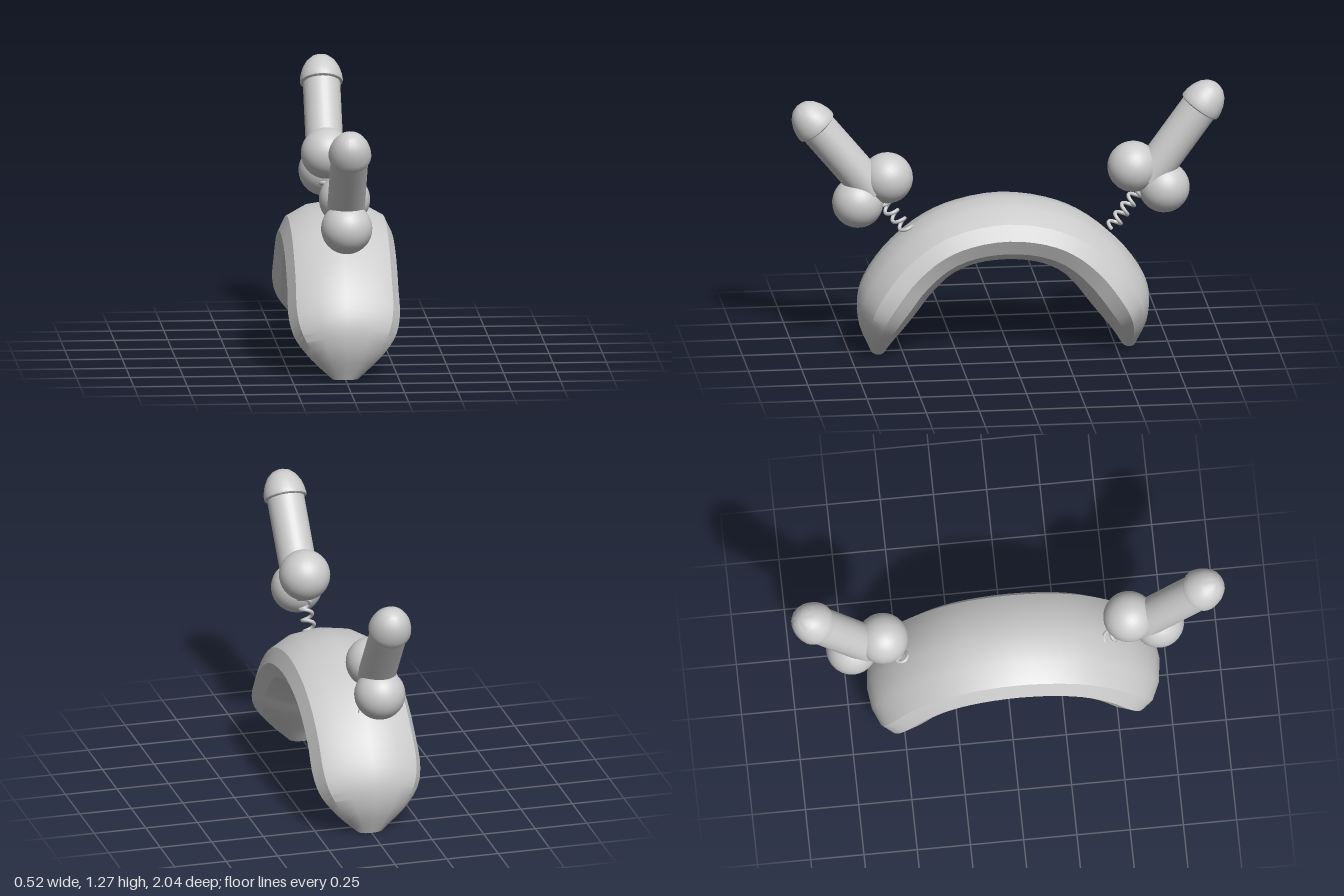
import * as THREE from 'three';
import { toCreasedNormals } from 'three/addons/utils/BufferGeometryUtils.js';

const mat = new THREE.MeshStandardMaterial({ color: 0xcccccc });

function mesh(name, geometry) {
  const m = new THREE.Mesh(geometry, mat);
  m.name = name;
  return m;
}

// Arched band: 12-sided oval sections that narrow towards both ends
function bandGeometry() {
  const midZ = 0.025, sides = 12, steps = 44;
  // half width, outer z, outer y, inner z, inner y (z from the middle of the arch)
  const half = [
    [0.26, 0.225, 0.705, 0.14, 0.435],
    [0.26, 0.385, 0.635, 0.245, 0.39],
    [0.26, 0.545, 0.505, 0.335, 0.305],
    [0.26, 0.65, 0.36, 0.415, 0.2],
    [0.235, 0.685, 0.26, 0.47, 0.13],
    [0.165, 0.677, 0.14, 0.52, 0.065],
    [0.06, 0.62, 0.002, 0.56, 0.002],
  ];
  const stations = [
    ...half.slice().reverse(),
    [0.26, 0, 0.74, 0, 0.45],
    ...half.map(([w, oz, oy, iz, iy]) => [w, -oz, oy, -iz, iy]),
  ];
  const outer = new THREE.CatmullRomCurve3(stations.map(s => new THREE.Vector3(s[0], s[2], s[1] + midZ)));
  const inner = new THREE.CatmullRomCurve3(stations.map(s => new THREE.Vector3(0, s[4], s[3] + midZ)));

  const pos = [], idx = [];
  for (let i = 0; i <= steps; i++) {
    const o = outer.getPoint(i / steps), n = inner.getPoint(i / steps);
    for (let j = 0; j < sides; j++) {
      const a = (j / sides) * Math.PI * 2, k = (1 + Math.sin(a)) / 2;
      pos.push(o.x * Math.cos(a), Math.max(0, n.y + (o.y - n.y) * k), n.z + (o.z - n.z) * k);
    }
  }
  for (let i = 0; i < steps; i++) {
    for (let j = 0; j < sides; j++) {
      const a = i * sides + j, b = i * sides + (j + 1) % sides;
      idx.push(a, a + sides, b, b, a + sides, b + sides);
    }
  }
  // close both tips
  const last = steps * sides;
  for (let j = 1; j < sides - 1; j++) {
    idx.push(0, j, j + 1, last, last + j + 1, last + j);
  }
  const g = new THREE.BufferGeometry();
  g.setAttribute('position', new THREE.Float32BufferAttribute(pos, 3));
  g.setIndex(idx);
  return toCreasedNormals(g, Math.PI / 6);
}

// Coil that carries an ornament above the band
function springGeometry() {
  const pts = [], turns = 4.5, n = 80;
  for (let i = 0; i <= n; i++) {
    const a = (i / n) * turns * Math.PI * 2;
    pts.push(new THREE.Vector3(Math.cos(a) * 0.026, -0.3 + 0.24 * i / n, Math.sin(a) * 0.026));
  }
  return new THREE.TubeGeometry(new THREE.CatmullRomCurve3(pts), 160, 0.009, 8);
}

// Ornament built upright around the point between its two balls
function ornament(name, y, z, tilt) {
  const g = new THREE.Group();
  g.name = name;

  const shaft = mesh('shaft', new THREE.CylinderGeometry(0.088, 0.088, 0.43, 32));
  shaft.position.y = 0.21;

  const profile = [[0, 0.405], [0.088, 0.405], [0.099, 0.411], [0.101, 0.422], [0.098, 0.445],
    [0.088, 0.48], [0.07, 0.513], [0.045, 0.537], [0.02, 0.547], [0, 0.549]];
  const cap = mesh('cap', toCreasedNormals(
    new THREE.LatheGeometry(profile.map(p => new THREE.Vector2(...p)), 32), 0.7));

  g.add(shaft, cap, mesh('spring', springGeometry()));
  for (const s of [1, -1]) {
    const ball = mesh(s > 0 ? 'outerBall' : 'innerBall', new THREE.SphereGeometry(0.12, 32, 20));
    ball.position.z = s * 0.09;
    g.add(ball);
  }
  g.position.set(0, y, z);
  g.rotation.x = tilt;
  return g;
}

export function createModel() {
  const model = new THREE.Group();
  model.name = 'noveltyHeadband';
  model.add(
    mesh('band', bandGeometry()),
    ornament('frontOrnament', 0.79, 0.638, 0.69),
    ornament('backOrnament', 0.81, -0.66, -0.625),
  );
  return model;
}
